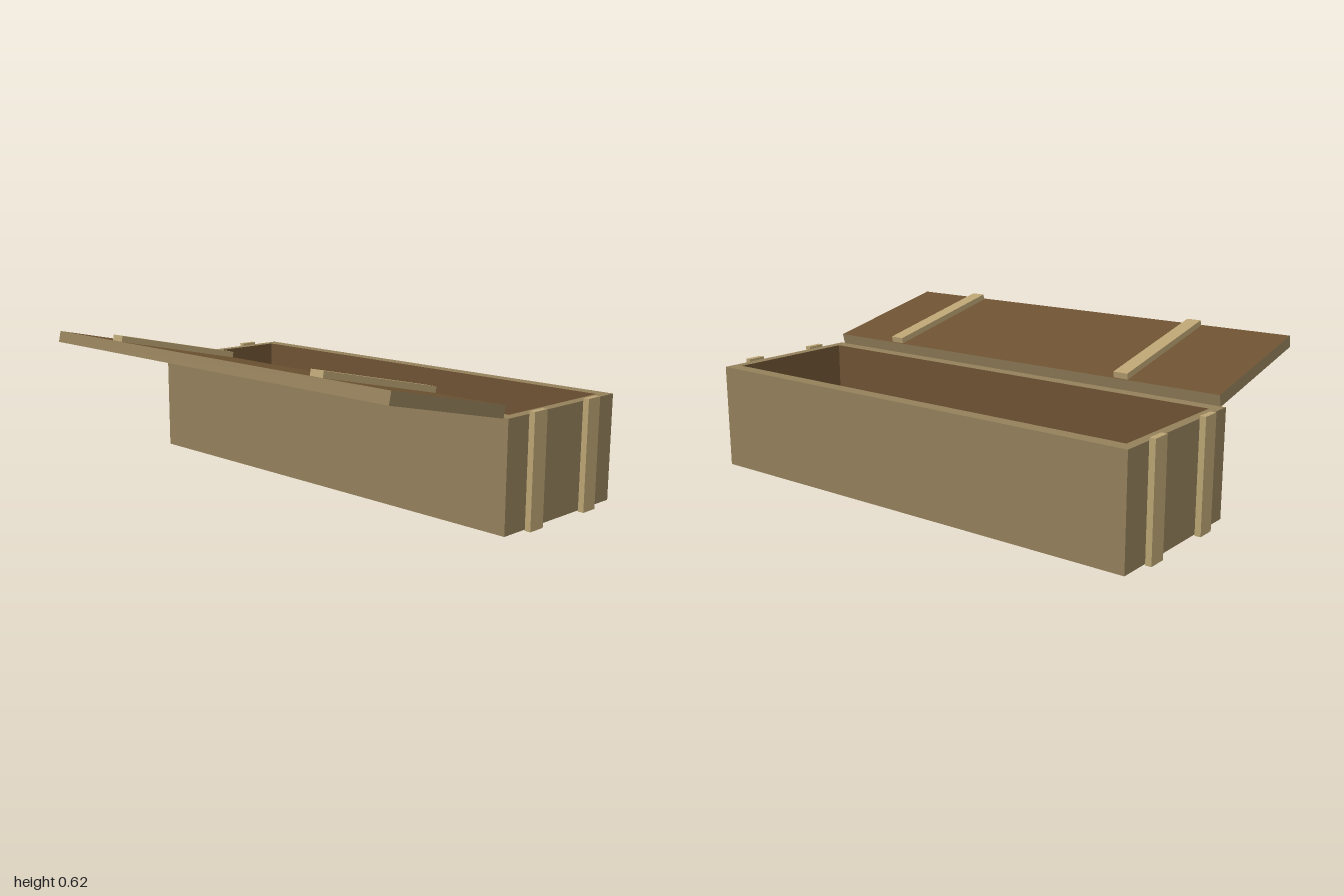
import * as THREE from 'three';

export function createModel() {
  const mat = (name, color) => {
    const m = new THREE.MeshStandardMaterial({ color });
    m.name = name;
    return m;
  };
  const wood = mat('paleWood', 0x937f5a);
  const inner = mat('darkWood', 0x6d5232);
  const strip = mat('lightStrip', 0xb9a373);

  const FACES = ['+x', '-x', '+y', '-y', '+z', '-z'];

  // Box from min and max corners; one face may be dark wood
  function box(parent, name, min, max, material, darkFace) {
    const size = max.map((v, i) => v - min[i]);
    const mats = darkFace ? FACES.map(f => (f === darkFace ? inner : material)) : material;
    const mesh = new THREE.Mesh(new THREE.BoxGeometry(...size), mats);
    mesh.position.set(...max.map((v, i) => (v + min[i]) / 2));
    mesh.name = name;
    parent.add(mesh);
    return mesh;
  }

  const model = new THREE.Group();
  model.name = 'openCrate';

  // Open crate body
  const body = new THREE.Group();
  body.name = 'crateBody';
  model.add(body);
  const x0 = -0.04, x1 = 0.625, ix0 = 0.015, ix1 = 0.57;
  const y0 = 0.005, y1 = 0.428, floorY = 0.065;
  const z = 0.976, iz = 0.937;
  box(body, 'hingeSideWall', [x0, y0, -z], [ix0, y1, z], wood, '+x');
  box(body, 'openSideWall', [ix1, y0, -z], [x1, y1, z], wood, '-x');
  box(body, 'frontWall', [ix0, y0, iz], [ix1, y1, z], wood, '-z');
  box(body, 'backWall', [ix0, y0, -z], [ix1, y1, -iz], wood, '+z');
  box(body, 'floor', [ix0, y0, -iz], [ix1, floorY, iz], wood, '+y');

  // Upright strips on both ends
  for (const x of [0.119, 0.458]) {
    box(model, 'frontStrip', [x - 0.038, 0, z], [x + 0.038, 0.438, 1], strip);
    box(model, 'backStrip', [x - 0.038, 0, -1], [x + 0.038, 0.438, -z], strip);
  }

  // Lid swung open, with its origin in the middle of the upper face
  const lid = new THREE.Group();
  lid.name = 'lid';
  lid.position.set(-0.322, 0.535, 0);
  lid.rotation.z = -0.215;
  model.add(lid);
  box(lid, 'lidPanel', [-0.299, -0.047, -0.955], [0.299, 0, 0.955], wood, '+y');
  for (const bz of [0.615, -0.538]) {
    box(lid, 'lidBatten', [-0.29, 0, bz - 0.031], [0.294, 0.024, bz + 0.031], strip);
  }

  return model;
}
